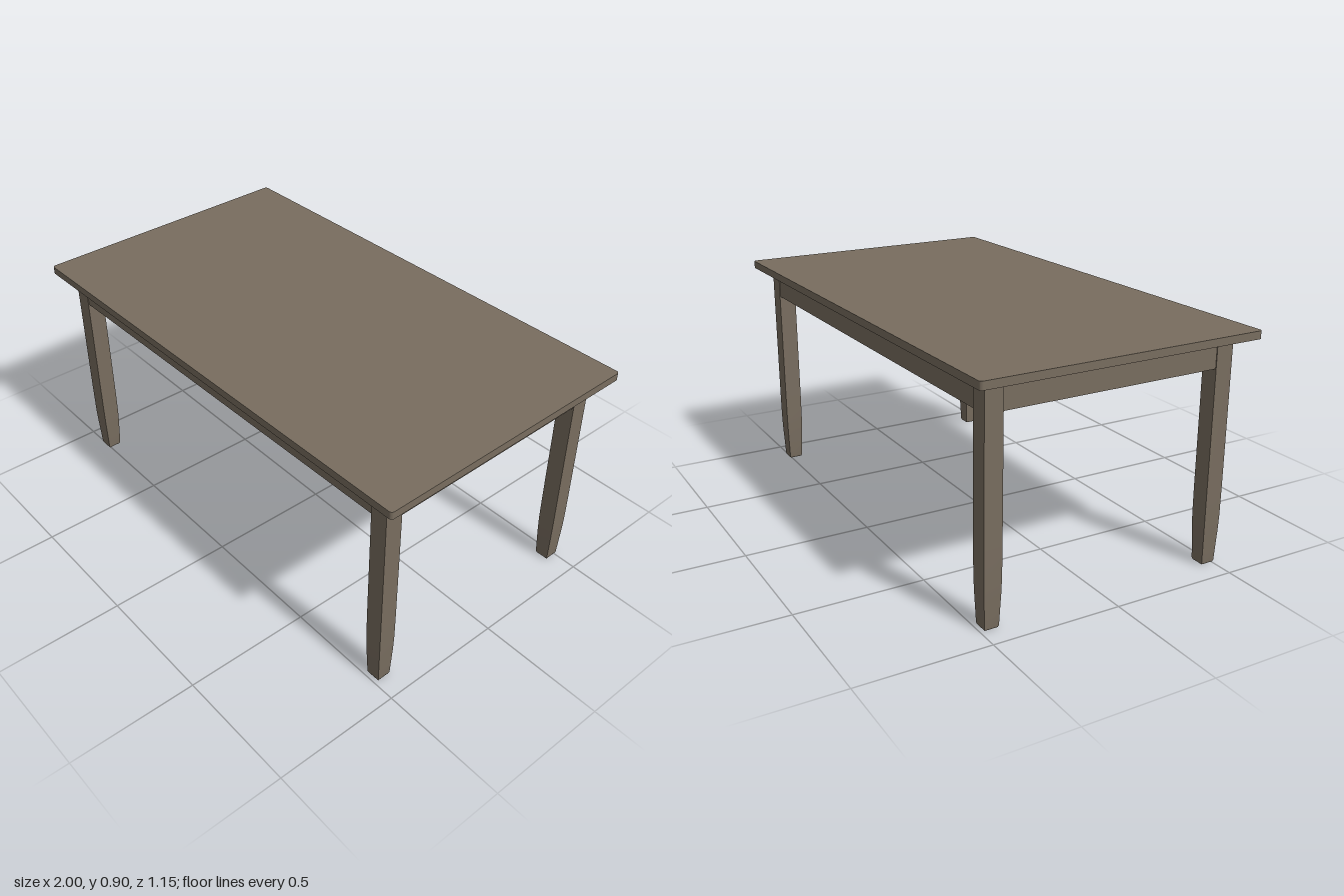
import * as THREE from 'three';

const HX = 0.993, HZ = 0.5625;          // tabletop half sizes
const LEG = 0.07, LX = 0.881, LZ = 0.468; // leg width and centre
const TOP = 0.905, UNDER = 0.875, APRON = 0.765;

// Rectangle with small rounded corners
function roundedRect(hx, hz, r) {
  const s = new THREE.Shape();
  s.absarc(hx - r, hz - r, r, 0, Math.PI / 2);
  s.absarc(-hx + r, hz - r, r, Math.PI / 2, Math.PI);
  s.absarc(-hx + r, -hz + r, r, Math.PI, Math.PI * 1.5);
  s.absarc(hx - r, -hz + r, r, Math.PI * 1.5, Math.PI * 2);
  s.closePath();
  return s;
}

// Square leg: straight above, softly tapered foot with a chamfered end
function legGeometry() {
  const rows = [[0, 0.025], [0.008, 0.028], [0.07, 0.0305], [0.13, 0.033], [0.19, 0.0345], [0.3, LEG / 2], [UNDER, LEG / 2]];
  const g = new THREE.BoxGeometry(2, rows.length - 1, 2, 1, rows.length - 1, 1);
  const p = g.attributes.position;
  for (let i = 0; i < p.count; i++) {
    const [y, half] = rows[Math.round(p.getY(i) + (rows.length - 1) / 2)];
    p.setXYZ(i, p.getX(i) * half, y, p.getZ(i) * half);
  }
  g.computeVertexNormals();
  return g;
}

export function createModel() {
  const table = new THREE.Group();
  table.name = 'table';
  const wood = new THREE.MeshStandardMaterial({ color: 0x786d5f });
  wood.name = 'greyBrownWood';

  const add = (name, geometry, x, y, z) => {
    const m = new THREE.Mesh(geometry, wood);
    m.name = name;
    m.position.set(x, y, z);
    table.add(m);
    return m;
  };

  // Tabletop
  const slab = new THREE.ExtrudeGeometry(roundedRect(HX, HZ, 0.012), {
    depth: TOP - UNDER, bevelEnabled: false, curveSegments: 4,
  });
  slab.rotateX(-Math.PI / 2);
  add('tabletop', slab, 0, UNDER, 0);

  // Legs
  const leg = legGeometry();
  for (const [side, sx] of [['Left', 1], ['Right', -1]])
    for (const [end, sz] of [['front', 1], ['back', -1]])
      add(`${end}${side}Leg`, leg, sx * LX, 0, sz * LZ);

  // Aprons between the legs
  const thick = 0.03, h = UNDER - APRON, y = (UNDER + APRON) / 2;
  const inset = LEG / 2 - thick / 2 - 0.003;
  const long = new THREE.BoxGeometry(2 * LX - LEG, h, thick);
  const short = new THREE.BoxGeometry(thick, h, 2 * LZ - LEG);
  for (const s of [1, -1]) {
    add(s > 0 ? 'frontApron' : 'backApron', long, 0, y, s * (LZ + inset));
    add(s > 0 ? 'leftApron' : 'rightApron', short, s * (LX + inset), y, 0);
  }

  // The whole table stands very slightly turned
  table.rotation.y = 0.0126;
  const model = new THREE.Group();
  model.name = 'diningTable';
  model.add(table);
  return model;
}
